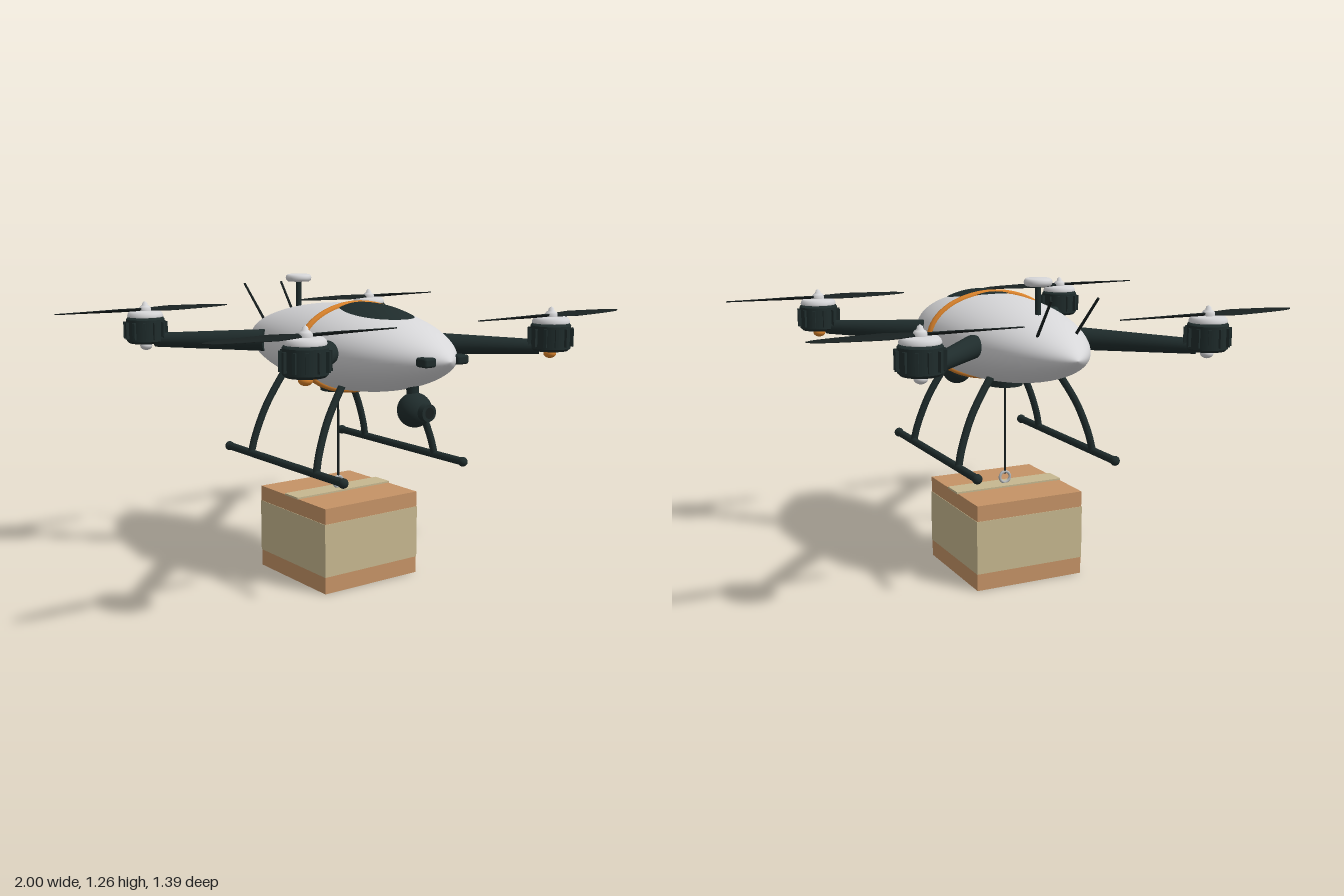
import * as THREE from 'three';
import { RoundedBoxGeometry } from 'three/addons/geometries/RoundedBoxGeometry.js';

const mat = (name, color) => {
  const m = new THREE.MeshStandardMaterial({ color });
  m.name = name;
  return m;
};
const V = (x, y, z) => new THREE.Vector3(x, y, z);

// Hull: elliptical sections whose size follows a rule along z
const HULL = { y: 0.983, w: 0.28, h: 0.175, mid: 0.08, nose: 0.59, tail: 0.72 };
const hullSize = (z) => {
  const t = (z - HULL.mid) / (z > HULL.mid ? HULL.nose : HULL.tail);
  return Math.pow(Math.max(0, 1 - t * t), 0.7);
};
const hullTop = (x, z) =>
  HULL.y + HULL.h * Math.sqrt(Math.max(0, hullSize(z) ** 2 - (x / HULL.w) ** 2));

export function createModel() {
  const model = new THREE.Group();
  model.name = 'deliveryDrone';
  const white = mat('shell white', 0xd6d6d8);
  const dark = mat('dark plastic', 0x1f2c2c);
  const orange = mat('orange accent', 0xd9822b);
  const card = mat('cardboard', 0xc59366);
  const paper = mat('beige paper', 0xc6b78f);
  const metal = mat('steel', 0xb4b8ba);
  const black = mat('blade black', 0x182020);

  const add = (name, geo, material, x = 0, y = 0, z = 0, parent = model) => {
    const m = new THREE.Mesh(geo, material);
    m.name = name;
    m.position.set(x, y, z);
    parent.add(m);
    return m;
  };
  const rod = (name, a, b, r0, r1, material, seg = 20) => {
    const d = b.clone().sub(a);
    const mid = a.clone().add(b).multiplyScalar(0.5);
    const m = add(name, new THREE.CylinderGeometry(r1, r0, d.length(), seg), material, mid.x, mid.y, mid.z);
    m.quaternion.setFromUnitVectors(V(0, 1, 0), d.normalize());
    return m;
  };
  const lathe = (pts, seg = 32) => new THREE.LatheGeometry(pts.map((p) => new THREE.Vector2(...p)), seg);

  // Hull
  const profile = [];
  for (let i = 0; i <= 48; i++) {
    const t = Math.sin((i / 48 - 0.5) * Math.PI);
    const z = HULL.mid + t * (t > 0 ? HULL.nose : HULL.tail);
    profile.push([hullSize(z), z]);
  }
  const hull = lathe(profile, 56);
  hull.rotateX(Math.PI / 2).scale(HULL.w, HULL.h, 1);
  add('hull', hull, white, 0, HULL.y, 0);

  // Orange band around the hull
  const loop = [];
  for (let i = 0; i < 32; i++) {
    const a = (i / 32) * Math.PI * 2;
    loop.push(V(0.28 * Math.cos(a), 0.174 * Math.sin(a), 0));
  }
  add('band', new THREE.TubeGeometry(new THREE.CatmullRomCurve3(loop, true), 96, 0.015, 10, true), orange, 0, HULL.y, 0.095);

  // Canopy: an oval laid over the hull with a slight bulge
  const canopy = new THREE.RingGeometry(0.001, 1, 56, 10).rotateX(-Math.PI / 2);
  const cp = canopy.attributes.position;
  for (let i = 0; i < cp.count; i++) {
    const u = cp.getX(i), v = cp.getZ(i);
    const x = u * 0.125, z = 0.225 + v * 0.185;
    cp.setXYZ(i, x, hullTop(x, z) + 0.002 + 0.012 * (1 - u * u - v * v), z);
  }
  canopy.computeVertexNormals();
  add('canopy', canopy, dark);

  // Nose sensors, antennas
  for (const s of [-1, 1]) {
    add('noseSensor', new RoundedBoxGeometry(0.056, 0.036, 0.06, 3, 0.01), dark, s * 0.08, 0.984, 0.625);
    rod('antenna', V(s * 0.083, 1.055, -0.475), V(s * 0.098, 1.205, -0.61), 0.006, 0.005, black, 8);
  }

  // Satellite receiver on its mast
  rod('receiverMast', V(0, 1.09, -0.322), V(0, 1.235, -0.322), 0.012, 0.012, dark);
  add('receiverDisc', lathe([[0, 0], [0.046, 0], [0.053, 0.005], [0.056, 0.015], [0.053, 0.025], [0.046, 0.03], [0, 0.032]]), white, 0, 1.227, -0.322);

  // Camera gimbal
  rod('gimbalMount', V(0, 0.82, 0.455), V(0, 0.91, 0.455), 0.024, 0.024, dark);
  add('cameraBall', new THREE.SphereGeometry(0.068, 32, 20), dark, 0, 0.775, 0.468);
  rod('lensBarrel', V(0, 0.775, 0.51), V(0, 0.775, 0.555), 0.034, 0.034, dark, 28);
  add('lens', new THREE.CircleGeometry(0.022, 24), black, 0, 0.775, 0.557);

  // Propeller blade: lens-shaped sections with taper and twist along the span
  const makeBlade = (dir) => {
    const g = new THREE.CylinderGeometry(1, 1, 1, 14, 20).rotateZ(-Math.PI / 2);
    const p = g.attributes.position;
    for (let i = 0; i < p.count; i++) {
      const s = p.getX(i) + 0.5;
      const chord = 0.032 * Math.min(1, 0.35 + 2.2 * s) * (1 - 0.2 * s) * Math.sqrt(Math.max(0.01, 1 - s ** 8));
      const thick = 0.006 * (1 - 0.6 * s);
      const a = dir * (0.32 - 0.22 * s);
      const c = p.getZ(i) * chord, t = p.getY(i) * thick;
      p.setXYZ(i, 0.01 + s * 0.39, t * Math.cos(a) - c * Math.sin(a), t * Math.sin(a) + c * Math.cos(a));
    }
    g.computeVertexNormals();
    return g;
  };

  // Four arms with motors and propellers
  for (const sx of [-1, 1]) for (const sz of [-1, 1]) {
    rod('arm', V(sx * 0.235, 0.995, sz * 0.235), V(sx * 0.57, 0.988, sz * 0.57), 0.046, 0.03, dark, 24);
    const unit = new THREE.Group();
    unit.name = 'motorUnit';
    unit.position.set(sx * 0.6, 0, sz * 0.6);
    model.add(unit);
    add('motorHousing', lathe([[0, 0.975], [0.07, 0.975], [0.07, 0.975], [0.081, 0.985], [0.081, 0.985], [0.081, 1.076], [0.081, 1.076], [0.074, 1.086], [0, 1.086]], 32), dark, 0, 0, 0, unit);
    for (let i = 0; i < 12; i++) {
      const a = (i / 12) * Math.PI * 2;
      const rib = add('coolingRib', new THREE.BoxGeometry(0.018, 0.072, 0.012), dark, 0.084 * Math.cos(a), 1.03, 0.084 * Math.sin(a), unit);
      rib.rotation.y = -a;
    }
    add('motorCap', lathe([[0.074, 1.085], [0.076, 1.09], [0.072, 1.102], [0.064, 1.11], [0, 1.112]], 32), white, 0, 0, 0, unit);
    add('spinner', lathe([[0.026, 1.108], [0.026, 1.122], [0.02, 1.13], [0.012, 1.135], [0.01, 1.145], [0, 1.152]], 20), white, 0, 0, 0, unit);
    const lamp = add('statusLamp', new THREE.SphereGeometry(0.026, 20, 12), sz > 0 ? orange : white, 0, 0.963, 0, unit);
    lamp.scale.y = 0.75;
    const propeller = new THREE.Group();
    propeller.name = 'propeller';
    propeller.position.y = 1.117;
    unit.add(propeller);
    for (const turn of [0, Math.PI]) {
      add('blade', makeBlade(sx * sz), black, 0, 0, 0, propeller).rotation.y = turn;
    }
  }

  // Landing gear: curved legs on skids
  for (const s of [-1, 1]) {
    for (const e of [-1, 1]) {
      const path = new THREE.CatmullRomCurve3([
        V(s * 0.14, 0.875, e * 0.208), V(s * 0.175, 0.825, e * 0.213), V(s * 0.24, 0.715, e * 0.223),
        V(s * 0.288, 0.59, e * 0.234), V(s * 0.305, 0.518, e * 0.24)]);
      add('leg', new THREE.TubeGeometry(path, 24, 0.015, 12), dark);
      add('skidEnd', new THREE.SphereGeometry(0.02, 16, 12), dark, s * 0.305, 0.518, e * 0.418);
    }
    rod('skid', V(s * 0.305, 0.518, -0.42), V(s * 0.305, 0.518, 0.42), 0.016, 0.016, dark, 16);
  }

  // Winch, cable and hook ring
  const cz = -0.032;
  add('winch', new THREE.CylinderGeometry(0.08, 0.074, 0.05, 32), dark, 0, 0.814, cz);
  rod('cable', V(0, 0.405, cz), V(0, 0.8, cz), 0.005, 0.005, black, 8);
  add('hookRing', new THREE.TorusGeometry(0.023, 0.006, 10, 28), metal, 0, 0.39, cz);

  // Parcel with paper wrap and a tape strip over the top
  add('parcel', new THREE.BoxGeometry(0.476, 0.358, 0.476), card, 0, 0.179, cz);
  add('paperWrap', new THREE.BoxGeometry(0.48, 0.222, 0.48), paper, 0, 0.182, cz);
  add('tapeStrip', new THREE.BoxGeometry(0.484, 0.008, 0.095), paper, 0, 0.361, cz);

  return model;
}
